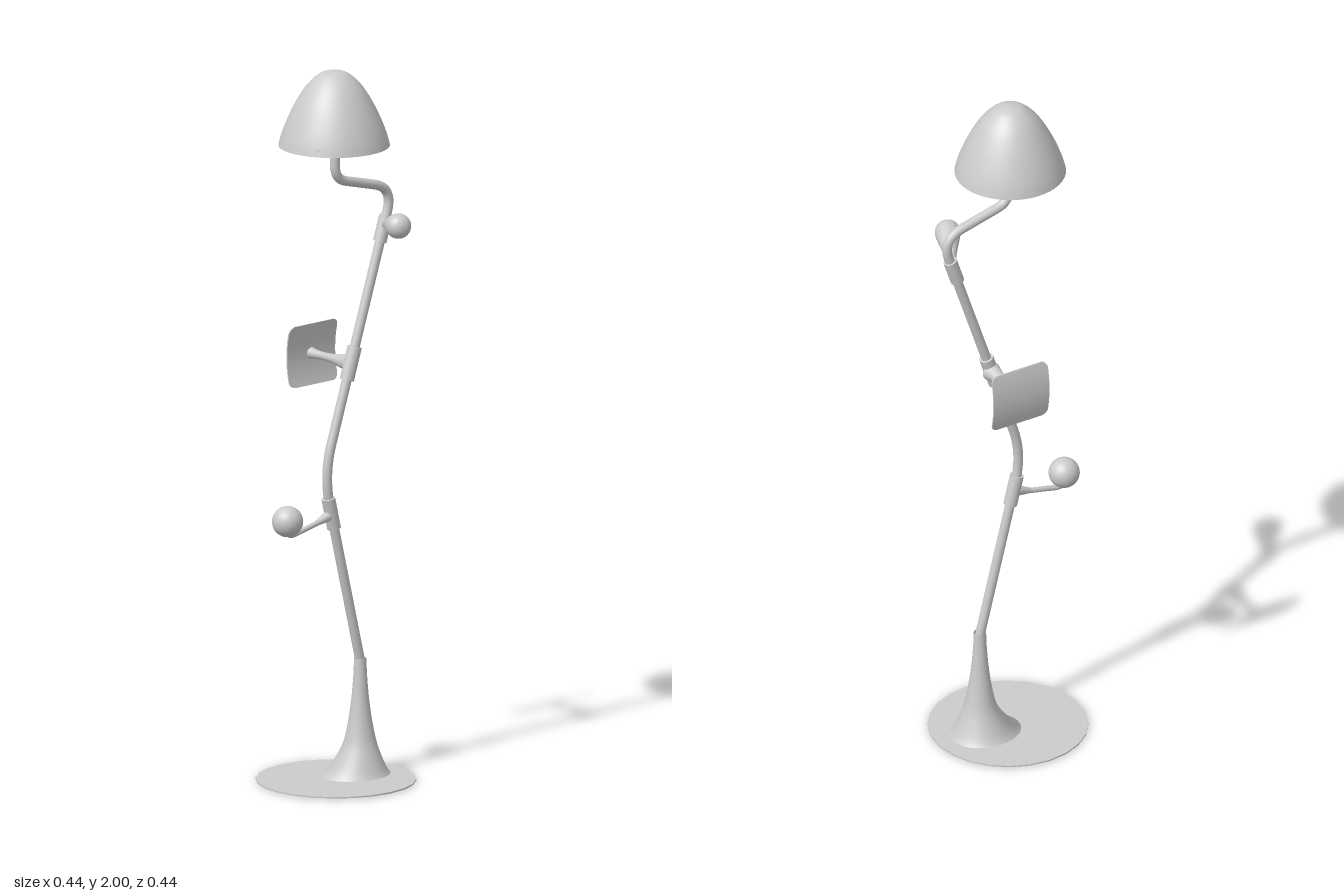
import * as THREE from 'three';

const V = (x, y, z = 0) => new THREE.Vector3(x, y, z);
const UP = V(0, 1, 0);

export function createModel() {
  const model = new THREE.Group();
  const grey = new THREE.MeshStandardMaterial({ color: 0xcccccc });
  const greyDouble = new THREE.MeshStandardMaterial({ color: 0xcccccc, side: THREE.DoubleSide });

  const add = (name, geometry, material = grey) => {
    const mesh = new THREE.Mesh(geometry, material);
    mesh.name = name;
    model.add(mesh);
    return mesh;
  };

  // Smooth lathe through a few [radius, height] points
  const turned = (points, steps = 30, sides = 32) => {
    const curve = new THREE.SplineCurve(points.map(([r, y]) => new THREE.Vector2(r, y)));
    const profile = curve.getPoints(steps);
    profile.forEach((p) => { p.x = Math.max(p.x, 0); });
    return new THREE.LatheGeometry(profile, sides);
  };

  // Stand a y-axis part at point a, pointing along a direction
  const aim = (mesh, a, direction) => {
    mesh.position.copy(a);
    mesh.quaternion.setFromUnitVectors(UP, direction.clone().normalize());
    return mesh;
  };

  const rod = (name, a, b, r0, r1 = r0, sides = 20) => {
    const d = b.clone().sub(a);
    const geometry = new THREE.CylinderGeometry(r1, r0, d.length(), sides);
    return aim(add(name, geometry), a.clone().lerp(b, 0.5), d);
  };

  // Polyline with each inner corner rounded by a given cut length
  const roundedPath = (corners, cuts) => {
    const path = new THREE.CurvePath();
    let last = corners[0];
    for (let i = 1; i < corners.length - 1; i++) {
      const c = corners[i], cut = cuts[i - 1];
      const before = c.clone().add(corners[i - 1].clone().sub(c).setLength(cut));
      const after = c.clone().add(corners[i + 1].clone().sub(c).setLength(cut));
      path.add(new THREE.LineCurve3(last, before));
      path.add(new THREE.QuadraticBezierCurve3(before, c, after));
      last = after;
    }
    path.add(new THREE.LineCurve3(last, corners[corners.length - 1]));
    return path;
  };

  // Floor disc
  add('baseDisc', new THREE.CylinderGeometry(0.22, 0.22, 0.004, 24)).position.y = 0.004;

  // Flared foot, stretched sideways towards the floor
  const foot = turned([[0.09, 0], [0.076, 0.02], [0.058, 0.06], [0.044, 0.1], [0.032, 0.16],
    [0.024, 0.22], [0.019, 0.28], [0.017, 0.33]]);
  const p = foot.attributes.position;
  for (let i = 0; i < p.count; i++) {
    const k = Math.max(0, 1 - p.getY(i) / 0.12) ** 2;
    p.setX(i, p.getX(i) * (1 + 0.23 * k) + 0.09 - 0.0185 * k);
  }
  add('flaredFoot', foot, greyDouble);

  // Bent pole
  const pole = roundedPath(
    [V(0.093, 0.31), V(-0.045, 0.865), V(0.212, 1.636), V(-0.004, 1.692), V(-0.004, 1.84)],
    [0.09, 0.07, 0.04]);
  add('pole', new THREE.TubeGeometry(pole, 160, 0.0135, 16));

  // Clamping collars along the pole
  const collar = (name, centre, slope, length, radius) => {
    const half = V(slope, 1).setLength(length / 2);
    rod(name, centre.clone().sub(half), centre.clone().add(half), radius);
  };
  collar('lowerCollar', V(-0.018, 0.755), -0.248, 0.09, 0.019);
  collar('middleCollar', V(0.055, 1.165), 0.333, 0.095, 0.02);
  collar('upperCollar', V(0.174, 1.525), 0.333, 0.075, 0.019);

  // Ball on a side arm
  const ballArm = new THREE.CatmullRomCurve3([V(-0.02, 0.75), V(-0.06, 0.738), V(-0.12, 0.725),
    V(-0.165, 0.717), V(-0.179, 0.723), V(-0.18, 0.75)]);
  add('ballArm', new THREE.TubeGeometry(ballArm, 40, 0.0075, 12));
  rod('ballArmRoot', V(-0.022, 0.751), V(-0.07, 0.736), 0.016, 0.008);
  add('ball', new THREE.SphereGeometry(0.043, 32, 20)).position.set(-0.18, 0.758, 0);

  // Panel arm, waisted between collar and panel
  const panelArm = turned([[0.027, 0.005], [0.021, 0.03], [0.014, 0.065], [0.011, 0.1],
    [0.012, 0.135], [0.016, 0.162]], 20, 20);
  aim(add('panelArm', panelArm, greyDouble), V(0.057, 1.165, 0), V(0, 0, -1));

  // Rounded panel: rows follow the corner radius and bow backwards
  const w = 0.089, h = 0.086, corner = 0.02, rows = 40;
  const panel = new THREE.BoxGeometry(2, 2, 0.004, 12, rows, 1);
  const q = panel.attributes.position;
  for (let i = 0; i < q.count; i++) {
    const t = Math.sin(q.getY(i) * Math.PI / 2);
    const over = Math.max(0, Math.abs(t) * h - (h - corner));
    const halfWidth = w - corner + Math.sqrt(Math.max(0, corner * corner - over * over));
    q.setXYZ(i, q.getX(i) * halfWidth, t * h, q.getZ(i) + 0.013 * t * t);
  }
  panel.computeVertexNormals();
  add('panel', panel).position.set(0.058, 1.165, -0.165);

  // Teardrop spotlight
  const spot = turned([[0.011, 0], [0.014, 0.03], [0.022, 0.075], [0.031, 0.115], [0.035, 0.14],
    [0.031, 0.16], [0.018, 0.173], [0, 0.178]]);
  aim(add('teardropLight', spot), V(0.18, 1.538, 0), V(-0.064, 0.026, 0.127));

  // Domed shade, open underneath
  const shade = turned([[0.153, 1.79], [0.145, 1.82], [0.13, 1.86], [0.106, 1.91], [0.076, 1.957],
    [0.042, 1.989], [0.018, 1.998], [0, 2]], 36, 48);
  add('shade', shade, greyDouble).position.x = -0.007;

  // Socket and the three spokes carrying the shade
  rod('socket', V(-0.005, 1.79), V(-0.005, 1.85), 0.015, 0.024);
  for (const degrees of [30, 150, 270]) {
    const a = degrees * Math.PI / 180;
    rod('shadeSpoke', V(-0.005, 1.805, 0),
      V(-0.007 + 0.149 * Math.cos(a), 1.805, 0.149 * Math.sin(a)), 0.005, 0.005, 8);
  }
  return model;
}
